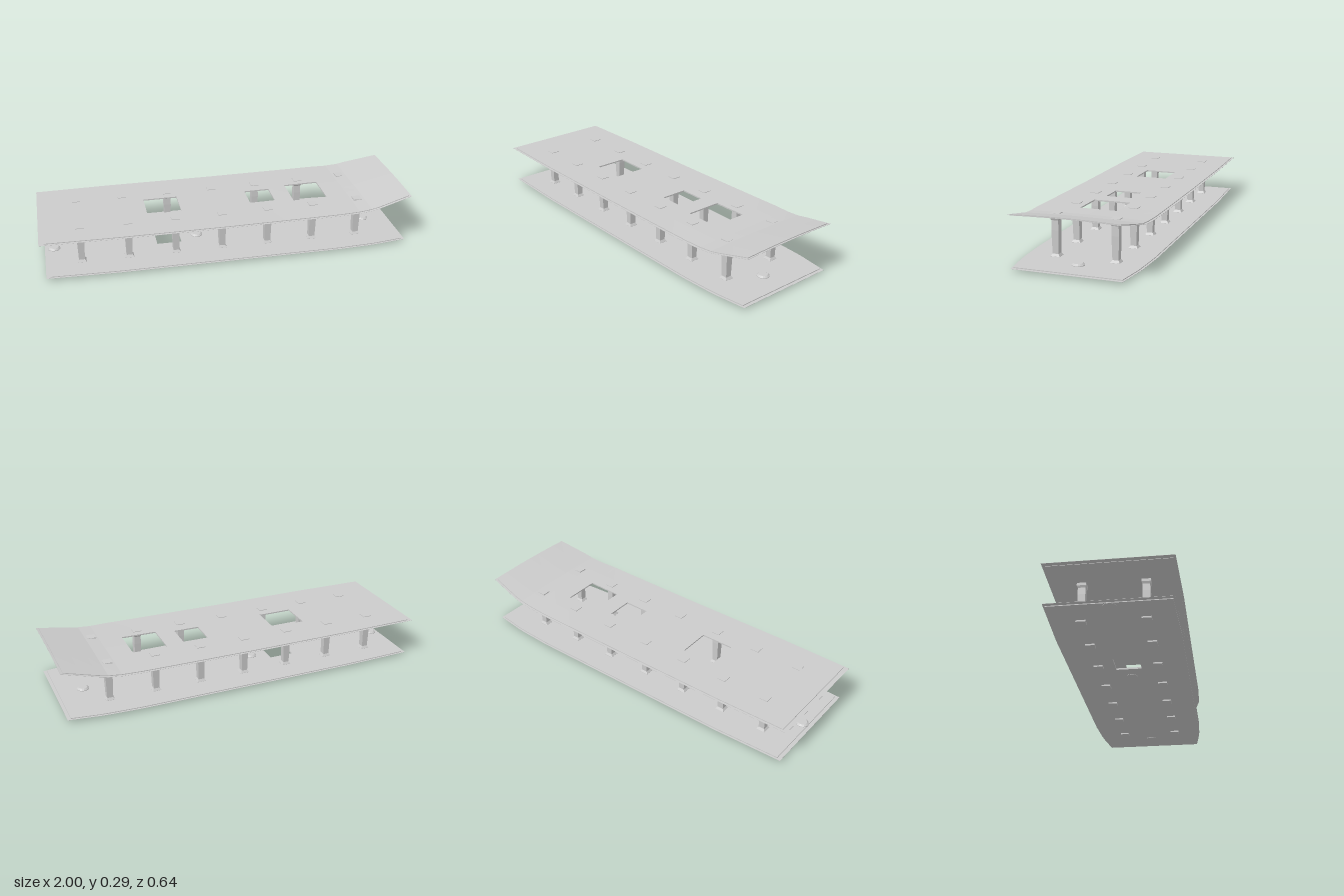
import * as THREE from 'three';

const material = new THREE.MeshStandardMaterial({ color: 0xcccccc, flatShading: true, side: THREE.DoubleSide });

// Piecewise linear lookup in a list of [x, value]
function lookup(table, x) {
  for (let i = 1; i < table.length; i++) {
    const [x0, v0] = table[i - 1], [x1, v1] = table[i];
    if (x <= x1) return v0 + (v1 - v0) * Math.max(0, (x - x0) / (x1 - x0));
  }
  return table[table.length - 1][1];
}

// Plan outlines and the sheer line of the upper deck
const upperHalf = [[-1, 0.312], [-0.6, 0.32], [0.6, 0.32], [0.82, 0.309], [1, 0.284]];
const lowerHalf = [[-0.98, 0.303], [-0.6, 0.316], [0.6, 0.316], [0.8, 0.306], [0.985, 0.28]];
const sheer = [[-1, 0.218], [0, 0.218], [0.25, 0.221], [0.5, 0.225], [0.7, 0.229], [0.77, 0.236], [1, 0.288]];
const camber = [[-1, 0], [0.1, 0], [0.7, 0.004], [1, 0.007]];

const upperTop = (x, z) => lookup(sheer, x) - lookup(camber, x) * (z / 0.3) ** 2;
const lowerTop = () => 0.017;

const upperHoles = [[-0.42, -0.235, -0.09, 0.085], [0.15, 0.29, -0.075, 0.07], [0.39, 0.58, -0.1, 0.097]];
const lowerHoles = [[-0.37, -0.235, -0.07, 0.065]];

// A plate laid out on a grid of cells, leaving out the cells inside openings
function plate(name, x0, x1, half, inset, top, drop, thickness, holes) {
  const unique = (list) => [...new Set(list)].sort((a, b) => a - b);
  const xs = unique([x0, x1, -0.8, -0.6, 0, 0.25, 0.5, 0.6, 0.7, 0.77, 0.82, 0.9,
    ...holes.flatMap((h) => [h[0], h[1]])]);
  const zs = unique([-9, -0.2, 0, 0.2, 9, ...holes.flatMap((h) => [h[2], h[3]])]);
  const positions = [];
  const point = (i, j, under) => {
    const h = lookup(half, xs[i]) - inset;
    const z = THREE.MathUtils.clamp(zs[j], -h, h);
    return [xs[i], top(xs[i], z) - drop - (under ? thickness : 0), z];
  };
  const quad = (a, b, c, d) => positions.push(...a, ...b, ...c, ...a, ...c, ...d);
  const solid = (i, j) => {
    if (i < 0 || j < 0 || i >= xs.length - 1 || j >= zs.length - 1) return false;
    const x = (xs[i] + xs[i + 1]) / 2, z = (zs[j] + zs[j + 1]) / 2;
    return !holes.some((h) => x > h[0] && x < h[1] && z > h[2] && z < h[3]);
  };
  const wall = (i, j, k, l) =>
    quad(point(i, j, true), point(k, l, true), point(k, l, false), point(i, j, false));
  for (let i = 0; i < xs.length - 1; i++) {
    for (let j = 0; j < zs.length - 1; j++) {
      if (!solid(i, j)) continue;
      const corners = [[i, j], [i, j + 1], [i + 1, j + 1], [i + 1, j]];
      quad(...corners.map(([a, b]) => point(a, b, false)));
      quad(...corners.reverse().map(([a, b]) => point(a, b, true)));
      if (!solid(i + 1, j)) wall(i + 1, j + 1, i + 1, j);
      if (!solid(i - 1, j)) wall(i, j, i, j + 1);
      if (!solid(i, j + 1)) wall(i, j + 1, i + 1, j + 1);
      if (!solid(i, j - 1)) wall(i + 1, j, i, j);
    }
  }
  const geometry = new THREE.BufferGeometry();
  geometry.setAttribute('position', new THREE.Float32BufferAttribute(positions, 3));
  geometry.computeVertexNormals();
  const mesh = new THREE.Mesh(geometry, material);
  mesh.name = name;
  return mesh;
}

// Turned solid; four sides give a square post
function turned(name, profile, sides) {
  const scale = sides === 4 ? Math.SQRT2 : 1;
  const points = profile.map(([r, y]) => new THREE.Vector2(r * scale, y));
  const geometry = new THREE.LatheGeometry(points, sides, sides === 4 ? Math.PI / 4 : 0);
  const mesh = new THREE.Mesh(geometry, material);
  mesh.name = name;
  return mesh;
}

export function createModel() {
  const model = new THREE.Group();
  model.name = 'deckSection';

  // Decks, each a solid plate with a thin sheet overhanging its rim
  model.add(
    plate('upperDeck', -0.975, 0.988, upperHalf, 0.012, upperTop, 0, 0.007, upperHoles),
    plate('upperDeckRim', -1, 1, upperHalf, 0, upperTop, 0.004, 0.001, upperHoles),
    plate('lowerDeck', -0.957, 0.968, lowerHalf, 0.01, lowerTop, 0, 0.009, lowerHoles),
    plate('lowerDeckRim', -0.978, 0.985, lowerHalf, 0, lowerTop, 0.004, 0.001, lowerHoles),
  );

  // Two rows of square pillars between the decks
  for (let i = 0; i < 7; i++) {
    const x = -0.787 + i * 0.2535;
    for (const side of [-1, 1]) {
      const z = side * 0.156;
      const top = upperTop(x, z) + 0.003;
      const pillar = turned('pillar', [
        [0, 0], [0.024, 0], [0.024, 0.018], [0.016, 0.03], [0.0175, 0.09], [0.019, 0.15],
        [0.018, top - 0.035], [0.023, top - 0.024], [0.023, top], [0, top],
      ], 4);
      pillar.position.set(x, 0, z);
      model.add(pillar);
    }
  }

  // Round capstans along the centreline of the lower deck
  for (const x of [-0.927, -0.14, 0.835]) {
    const capstan = turned('capstan', [
      [0, 0.006], [0.032, 0.006], [0.033, 0.02], [0.024, 0.028], [0, 0.028],
    ], 16);
    capstan.position.x = x;
    model.add(capstan);
  }

  return model;
}
